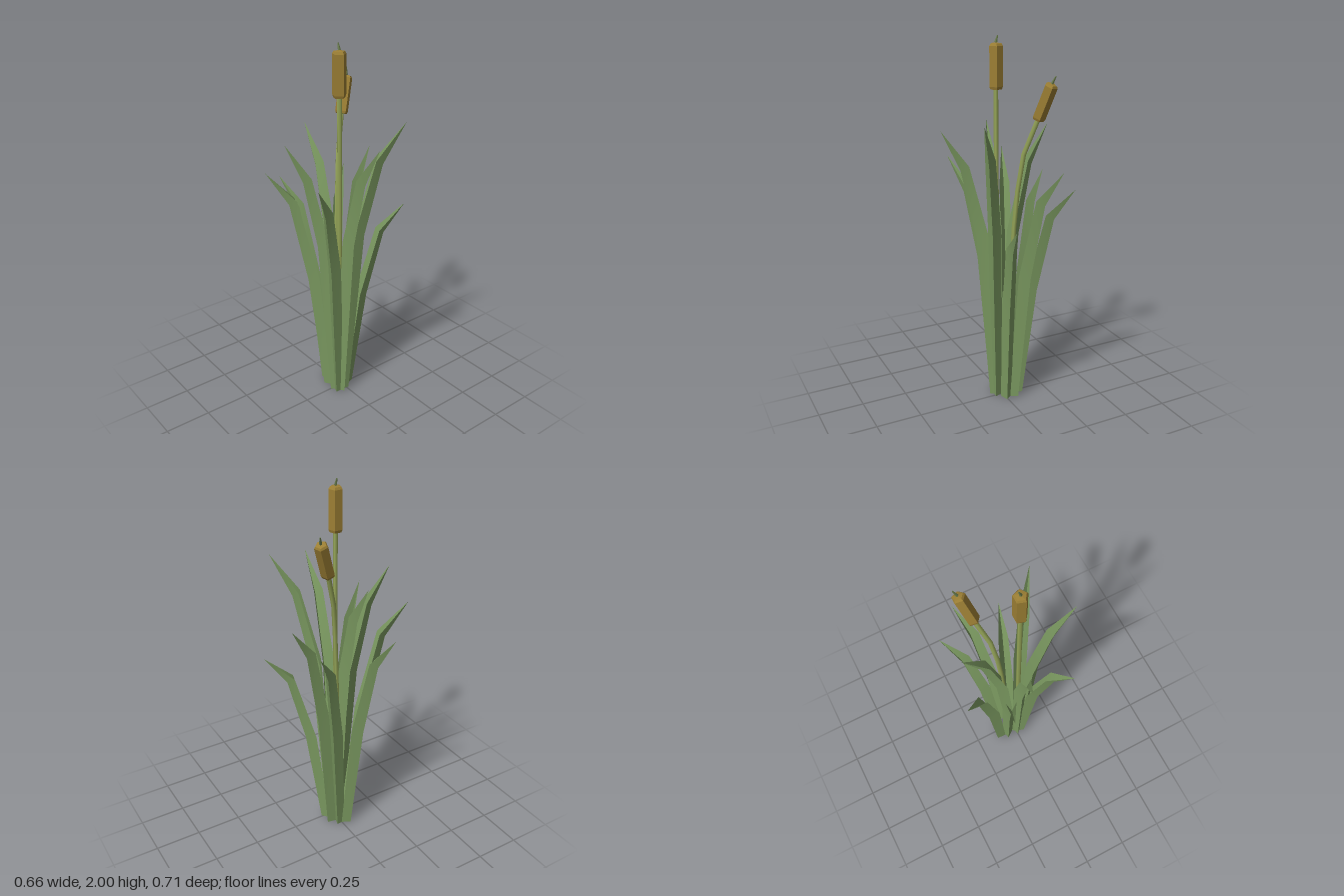
import * as THREE from 'three';

const mat = (color, flatShading = false) =>
  new THREE.MeshStandardMaterial({ color, flatShading, side: THREE.DoubleSide });
const leafMat = mat(0x7d9c62);
const stemMat = mat(0x98a85a);
const headMat = mat(0x9c7f34, true);
const spikeMat = mat(0x66784a, true);
const V = (x, y, z) => new THREE.Vector3(x, y, z);

// Blade folded deeply along an outward ridge: base, two bends, then a point
function makeLeaf(base, tip, bend) {
  const out = V(tip[0] - base[0], 0, tip[2] - base[1]);
  const reach = out.length();
  out.normalize();
  const side = V(out.z, 0, -out.x);
  // [reach, height, half width, fold depth]
  const sections = [
    [0, 0, 0.029, 0.044],
    [0.25, bend, 0.035, 0.052],
    [0.57, 0.87, 0.027, 0.036],
    [1, 1, 0, 0],
  ];
  const positions = [], index = [];
  for (const s of [-1, 1]) {
    const start = positions.length / 3;
    for (const [r, h, w, d] of sections) {
      const centre = V(base[0], h * tip[1], base[1]).addScaledVector(out, r * reach);
      const ridge = centre.clone().addScaledVector(out, d * 0.5);
      ridge.y -= d * r * 0.7;
      const edge = centre.clone().addScaledVector(out, -d * 0.5).addScaledVector(side, s * w);
      edge.y += d * r * 0.5;
      positions.push(...ridge.toArray(), ...edge.toArray());
    }
    for (let i = 0; i < sections.length - 1; i++) {
      const a = start + i * 2, b = a + 1, c = a + 2, d = a + 3;
      const faces = i === sections.length - 2 ? [[a, b, c]] : [[a, b, d], [a, d, c]];
      for (const f of faces) index.push(...(s > 0 ? f : [f[0], f[2], f[1]]));
    }
  }
  const geo = new THREE.BufferGeometry();
  geo.setAttribute('position', new THREE.Float32BufferAttribute(positions, 3));
  geo.setIndex(index);
  geo.computeVertexNormals();
  const mesh = new THREE.Mesh(geo, leafMat);
  mesh.name = 'leaf';
  return mesh;
}

// Stalk along a path, ending in a five-sided seed head with a bent spike
function makeReed(path, top, length, radius, spikeTip) {
  const reed = new THREE.Group();
  reed.name = 'reed';
  const curve = new THREE.CatmullRomCurve3(path);
  const stem = new THREE.Mesh(new THREE.TubeGeometry(curve, 8, 0.013, 5), stemMat);
  stem.name = 'stem';

  const start = path[path.length - 1];
  const dir = top.clone().sub(start).normalize();
  const profile = [[0.012, 0], [0.86, 0], [1, 0.06], [1, 0.93], [0.8, 0.98], [0.01, 1]]
    .map(([r, h]) => new THREE.Vector2(r * radius, h * length));
  const head = new THREE.Mesh(new THREE.LatheGeometry(profile, 5, Math.PI / 2), headMat);
  head.name = 'seedHead';
  head.position.copy(start);
  head.quaternion.setFromUnitVectors(V(0, 1, 0), dir);

  const spikeDir = spikeTip.clone().sub(top);
  const spike = new THREE.Mesh(
    new THREE.CylinderGeometry(0.003, 0.008, spikeDir.length(), 5), spikeMat);
  spike.name = 'spike';
  spike.position.copy(top).addScaledVector(spikeDir, 0.5);
  spike.quaternion.setFromUnitVectors(V(0, 1, 0), spikeDir.normalize());
  reed.add(stem, head, spike);
  return reed;
}

export function createModel() {
  const group = new THREE.Group();
  group.name = 'reedClump';

  // Each leaf: base x z, tip x y z, height of the lower bend
  const tall = [
    [[0.043, 0.03], [0.33, 1.55, 0.03], 0.63],
    [[0.033, 0.055], [0.19, 1.36, 0.29], 0.6],
    [[0.005, 0.058], [-0.055, 1.53, 0.31], 0.62],
    [[-0.02, 0.03], [-0.28, 1.54, 0.03], 0.62],
    [[0.035, 0.005], [0.217, 1.61, -0.24], 0.62],
  ];
  const short = [
    [[-0.095, -0.015], [-0.295, 1.24, -0.245], 0.53],
    [[-0.055, -0.05], [-0.17, 1.36, -0.33], 0.55],
    [[0.0, -0.05], [0.1, 1.1, -0.355], 0.53],
    [[-0.06, 0.055], [-0.17, 1.36, 0.355], 0.53],
    [[-0.11, 0.035], [-0.333, 1.25, 0.165], 0.53],
  ];
  for (const [name, leaves] of [['tallLeaves', tall], ['shortLeaves', short]]) {
    const tuft = new THREE.Group();
    tuft.name = name;
    for (const leaf of leaves) tuft.add(makeLeaf(...leaf));
    group.add(tuft);
  }

  // Straight tall reed and leaning shorter reed
  group.add(makeReed(
    [V(0.02, 0, 0.03), V(0.02, 0.9, 0.03), V(0.022, 1.735, 0.032)],
    V(0.022, 1.965, 0.032), 0.23, 0.036, V(0.012, 2.0, 0.032)));
  group.add(makeReed(
    [V(-0.045, 0, 0.01), V(-0.05, 0.6, 0.005), V(-0.067, 1.1, -0.02),
      V(-0.095, 1.4, -0.05), V(-0.143, 1.59, -0.11)],
    V(-0.183, 1.775, -0.175), 0.2, 0.035, V(-0.198, 1.812, -0.186)));
  return group;
}
